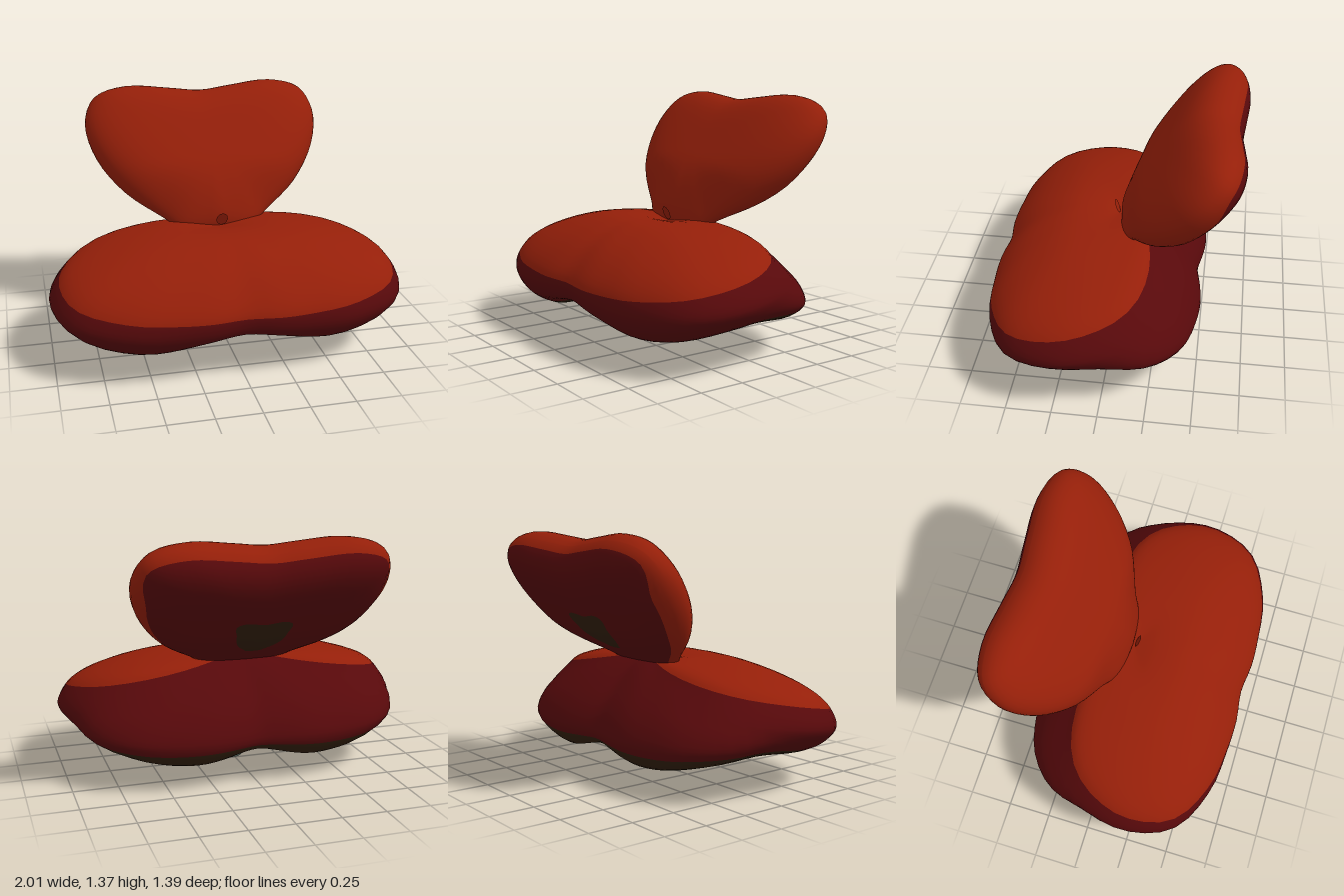
import * as THREE from 'three';

const { smoothstep, lerp } = THREE.MathUtils;

const material = (name, color, side = THREE.FrontSide) => {
  const m = new THREE.MeshStandardMaterial({ color, side });
  m.name = name;
  return m;
};

// Catmull-Rom through table values spread evenly over half a turn, mirrored at both ends
function mirrored(table, theta) {
  const n = table.length - 1;
  let t = (theta / Math.PI) * n;
  if (t > n) t = 2 * n - t;
  const k = Math.min(Math.floor(t), n - 1), f = t - k;
  const at = (i) => table[i < 0 ? -i : i > n ? 2 * n - i : i];
  const [a, b, c, d] = [at(k - 1), at(k), at(k + 1), at(k + 2)];
  return b + 0.5 * f * (c - a + f * (2 * a - 5 * b + 4 * c - d + f * (3 * (b - c) + d - a)));
}

// Closed skin from pole to pole; each band [end row, material index] has its own colour
function skin(rows, cols, point, bands) {
  const pos = [], idx = [];
  for (let j = 0; j <= rows; j++)
    for (let i = 0; i < cols; i++) pos.push(...point(j / rows, i / cols));
  const g = new THREE.BufferGeometry();
  let row = 0;
  for (const [end, mat] of bands) {
    const start = idx.length;
    for (; row < end; row++)
      for (let i = 0; i < cols; i++) {
        const a = row * cols + i, d = row * cols + ((i + 1) % cols);
        if (row < rows - 1) idx.push(a, a + cols, d + cols);
        if (row > 0) idx.push(a, d + cols, d);
      }
    g.addGroup(start, idx.length - start, mat);
  }
  g.setAttribute('position', new THREE.Float32BufferAttribute(pos, 3));
  g.setIndex(idx);
  g.computeVertexNormals();
  return g;
}

// Seat outline radius every 15 degrees from front to back
const seatRadius = [0.67, 0.715, 0.79, 0.915, 1.02, 1.01, 0.965, 0.94, 0.83, 0.68, 0.575, 0.5, 0.465];

// Seat sections [radius fraction, height] from the top pole, over the rim, to the underside
const seatSections = [
  // front
  [[0, .642], [.2, .668], [.45, .66], [.73, .575], [.93, .45], [1, .365], [.99, .3],
    [.95, .26], [.88, .25], [.75, .24], [.6, .27], [.38, .34], [0, .39]],
  // front corner
  [[0, .642], [.2, .67], [.45, .655], [.72, .57], [.9, .47], [.98, .385], [1, .3],
    [.95, .22], [.85, .16], [.73, .14], [.57, .22], [.34, .33], [0, .39]],
  // side
  [[0, .642], [.25, .67], [.5, .65], [.7, .61], [.84, .56], [.91, .51], [1, .39],
    [.99, .32], [.95, .275], [.79, .205], [.62, .23], [.38, .34], [0, .39]],
  // back corner
  [[0, .642], [.1, .655], [.2, .665], [.25, .665], [.29, .66], [.34, .65], [.65, .53],
    [.92, .37], [1, .25], [.82, .13], [.64, .18], [.38, .32], [0, .39]],
  // back
  [[0, .642], [.1, .65], [.2, .655], [.27, .655], [.31, .655], [.36, .647], [.63, .535],
    [.92, .37], [1, .25], [.86, .19], [.66, .23], [.38, .33], [0, .39]],
];

function seatGeometry() {
  const cols = 72, step = 4, cache = new Map();
  const section = (u) => {
    if (!cache.has(u)) {
      const theta = u * Math.PI * 2;
      cache.set(u, new THREE.CatmullRomCurve3(seatSections[0].map((_, k) => new THREE.Vector3(
        mirrored(seatSections.map((s) => s[k][0]), theta),
        mirrored(seatSections.map((s) => s[k][1]), theta), 0))));
    }
    return cache.get(u);
  };
  return skin(12 * step, cols, (v, u) => {
    const p = section(u).getPoint(v), theta = u * Math.PI * 2;
    const r = p.x * mirrored(seatRadius, theta);
    return [r * Math.sin(theta), p.y, r * Math.cos(theta)];
  }, [[5 * step, 0], [8 * step + 1, 1], [10 * step, 2], [11 * step, 3], [12 * step, 4]]);
}

// Heart-shaped pillow: right half of the outline, mirrored to the left
function backrestGeometry() {
  const half = [[.2, -.06], [.31, .03], [.51, .2], [.66, .43], [.705, .65], [.64, .81], [.46, .87], [.2, .845]];
  const points = [[0, -.08], ...half, [0, .82], ...half.slice().reverse().map(([x, y]) => [-x, y])];
  const outline = new THREE.CatmullRomCurve3(
    points.map(([x, y]) => new THREE.Vector3(x, y, 0)), true);
  const rows = 32;
  return skin(rows, 72, (v, u) => {
    const o = outline.getPoint(u), front = v <= 0.5;
    const cy = front ? 0.42 : 0.3;
    // the dark back reaches closer to the rim along the top
    const b = 2 * v - 1;
    const t = front ? v : 0.5 + 0.5 * b * (1 - 0.95 * smoothstep(o.y, 0.6, 0.8) * (1 - b) ** 2);
    const s = Math.sin(t * Math.PI);
    const x = o.x * (front ? s : s ** 1.3), y = cy + (o.y - cy) * s;
    const base = front ? 0.75 - 1.2 * Math.min(Math.abs(x), 0.3) : 0.3;
    const taper = lerp(base, 1, smoothstep(y, -0.1, front ? 0.3 : 0.4));
    const depth = 0.178 * taper * Math.sqrt(Math.max(0, 1 - s ** (front ? 4 : 6)));
    return [x, y, front ? depth : -depth];
  }, [[20, 0], [29, 1], [rows, 2]]);
}

export function createModel() {
  const model = new THREE.Group();
  const red = material('red', 0x951f09);
  const darkRed = material('dark red', 0x58090b);
  const brown = material('dark brown', 0x321f0c);
  const grey = material('dark grey', 0x39312d);
  const greyGreen = material('grey green', 0x47534f);
  const paleGreen = material('pale green', 0x7f9b91);
  const tabRed = material('tab red', 0x951f09, THREE.DoubleSide);

  const add = (name, geometry, mat) => {
    const mesh = new THREE.Mesh(geometry, mat);
    mesh.name = name;
    model.add(mesh);
    return mesh;
  };

  add('seat', seatGeometry(), [red, darkRed, brown, grey, greyGreen]);

  // Backrest leans away from the seat
  const back = add('backrest', backrestGeometry(), [red, darkRed, brown]);
  back.position.set(0, 0.66, -0.09);
  back.rotation.x = -0.685;

  // Tapered foot, flattened front to back and flared where it meets the seat
  const profile = [[0, 0], [.05, .008], [.085, .04], [.115, .1], [.14, .18], [.16, .27], [.185, .33], [.23, .39]];
  const foot = add('foot', new THREE.LatheGeometry(
    profile.map(([x, y]) => new THREE.Vector2(x, y)), 20), paleGreen);
  foot.scale.z = 0.72;
  foot.position.set(0.015, 0, 0.02);

  // Small upright tab where the seat meets the backrest
  const tab = add('tab', new THREE.CircleGeometry(0.034, 12), tabRed);
  tab.scale.y = 1.25;
  tab.position.set(0.012, 0.69, 0.016);
  tab.rotation.x = 0.36;

  return model;
}
